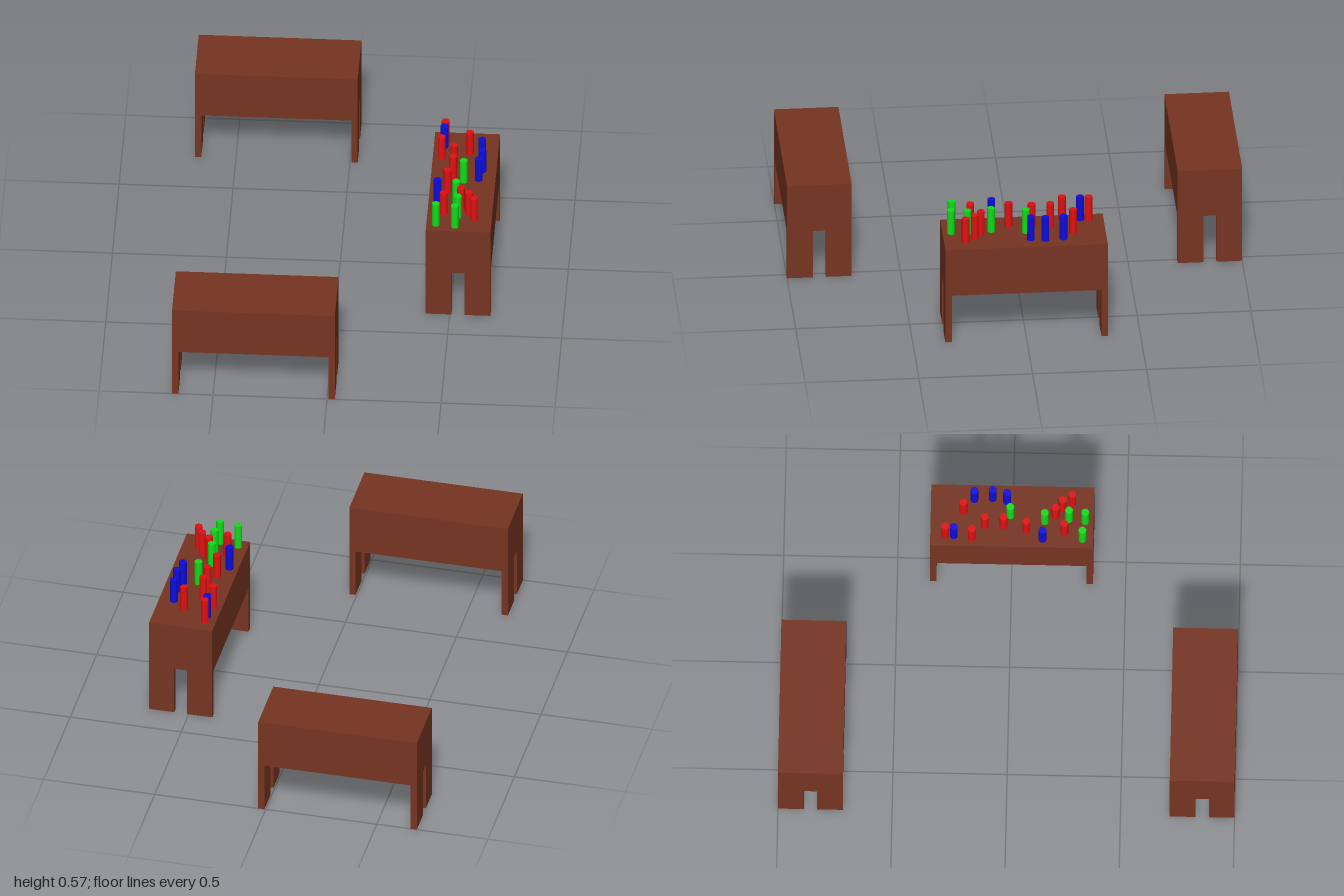
import * as THREE from 'three';

const LENGTH = 0.714, DEPTH = 0.284, HEIGHT = 0.457, LEG_H = 0.23;
const LEG_T = 0.028, LEG_W = 0.113;

const wood = new THREE.MeshStandardMaterial({ color: 0x763421 });
const paint = {
  red: new THREE.MeshStandardMaterial({ color: 0xe01010 }),
  green: new THREE.MeshStandardMaterial({ color: 0x10dc18 }),
  blue: new THREE.MeshStandardMaterial({ color: 0x0c0cdc }),
};

function box(name, w, h, d, x, y, z) {
  const mesh = new THREE.Mesh(new THREE.BoxGeometry(w, h, d), wood);
  mesh.name = name;
  mesh.position.set(x, y, z);
  return mesh;
}

// A deep block top on four flat plank legs, long side along x
function makeTable(name) {
  const table = new THREE.Group();
  table.name = name;
  table.add(box('tableTop', LENGTH, HEIGHT - LEG_H, DEPTH, 0, (HEIGHT + LEG_H) / 2, 0));
  for (const sx of [-1, 1]) {
    for (const sz of [-1, 1]) {
      table.add(box('tableLeg', LEG_T, LEG_H, LEG_W,
        sx * (LENGTH - LEG_T) / 2, LEG_H / 2, sz * (DEPTH - LEG_W) / 2));
    }
  }
  return table;
}

// Bottle positions (x, z) on the side table, by colour
const bottles = {
  red: [[0.444, -0.291], [0.556, -0.214], [0.434, -0.175], [0.492, -0.119], [0.492, -0.037],
    [0.474, 0.063], [0.54, 0.19], [0.577, 0.22], [0.466, 0.23], [0.603, 0.262]],
  green: [[0.54, -0.008], [0.516, 0.143], [0.529, 0.249], [0.437, 0.31], [0.521, 0.32]],
  blue: [[0.442, -0.254], [0.612, -0.167], [0.618, -0.087], [0.606, -0.024], [0.434, 0.135]],
};

export function createModel() {
  const model = new THREE.Group();
  model.name = 'tablesWithBottles';

  // Front and back tables, and the side table turned a quarter
  const front = makeTable('frontTable');
  front.position.set(-0.323, 0, 0.858);
  const back = makeTable('backTable');
  back.position.set(-0.323, 0, -0.858);
  const side = makeTable('sideTable');
  side.position.set(0.537, 0, 0);
  side.rotation.y = Math.PI / 2;
  model.add(front, back, side);

  // Coloured cylinders scattered on the side table
  const bottleH = 0.115;
  const bottleGeo = new THREE.CylinderGeometry(0.017, 0.017, bottleH, 20);
  for (const [color, spots] of Object.entries(bottles)) {
    for (const [x, z] of spots) {
      const bottle = new THREE.Mesh(bottleGeo, paint[color]);
      bottle.name = color + 'Bottle';
      bottle.position.set(x, HEIGHT + bottleH / 2, z);
      model.add(bottle);
    }
  }
  return model;
}
